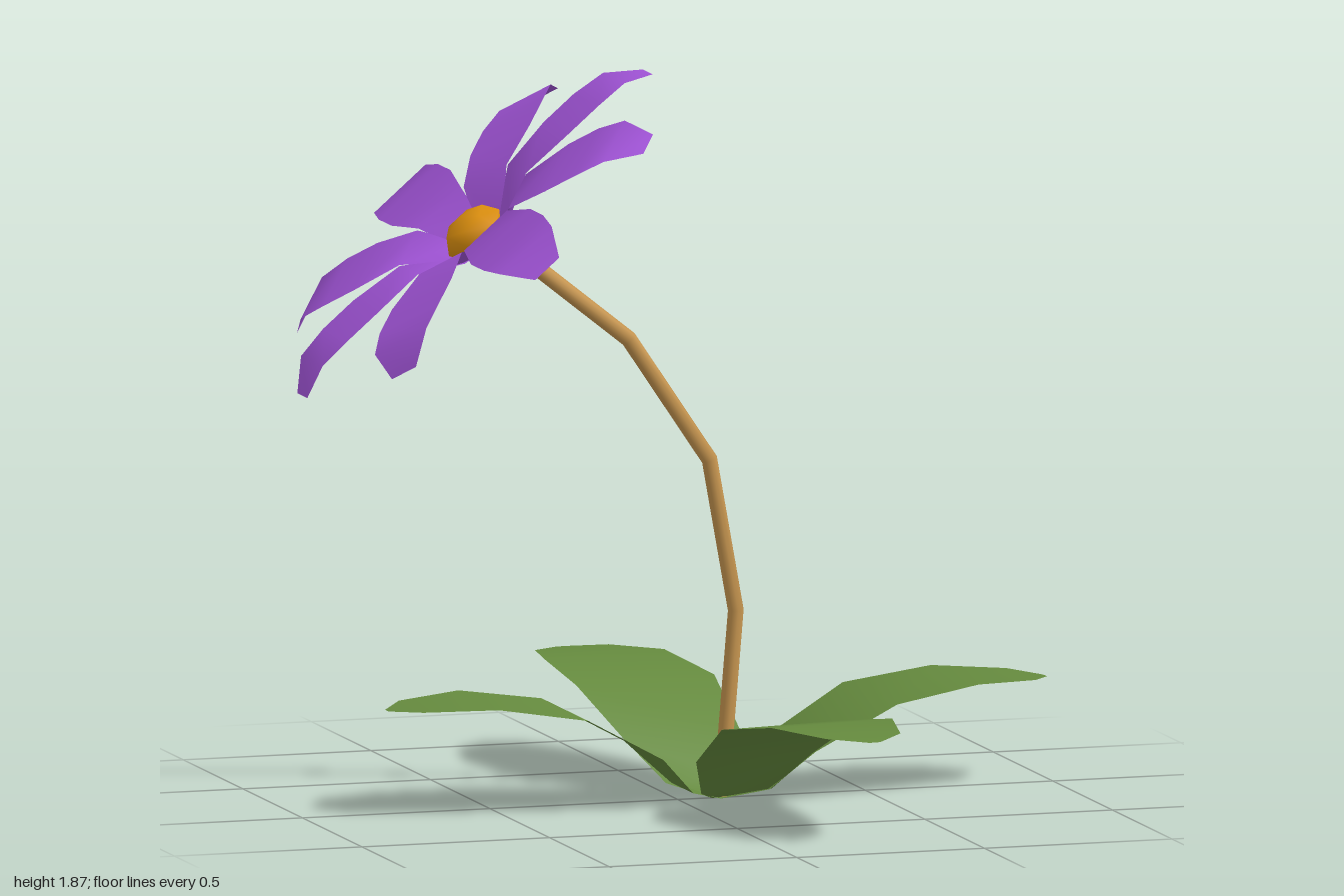
import * as THREE from 'three';
import { mergeVertices } from 'three/addons/utils/BufferGeometryUtils.js';

const petalMat = new THREE.MeshStandardMaterial({ color: 0xa355da, side: THREE.DoubleSide });
petalMat.name = 'purple petal';
const leafMat = new THREE.MeshStandardMaterial({ color: 0x658a3e, side: THREE.DoubleSide });
leafMat.name = 'green leaf';
const stemMat = new THREE.MeshStandardMaterial({ color: 0xc79650 });
stemMat.name = 'tan stem';
const centreMat = new THREE.MeshStandardMaterial({ color: 0xe0920f });
centreMat.name = 'orange centre';

// Joins rows of points (equal counts) into one smooth surface
function loft(rows) {
  const n = rows[0].length;
  const index = [];
  for (let i = 0; i < rows.length - 1; i++) {
    for (let j = 0; j < n - 1; j++) {
      const a = i * n + j, c = a + n;
      index.push(a, a + 1, c, a + 1, c + 1, c);
    }
  }
  const geo = new THREE.BufferGeometry();
  geo.setAttribute('position', new THREE.Float32BufferAttribute(rows.flat(2), 3));
  geo.setIndex(index);
  const merged = mergeVertices(geo);
  merged.computeVertexNormals();
  return merged;
}

// Blade along +x from [distance, height, half width] sections
const blade = (sections) =>
  loft(sections.map(([r, y, w]) => [[r, y, -w], [r, y, w]]));

// Round stalk through points of the xy plane, mitred at each bend
function stalk(points, radius, sides) {
  const pts = points.map(([x, y]) => new THREE.Vector2(x, y));
  const rings = pts.map((p, i) => {
    const before = pts[Math.max(i - 1, 0)], after = pts[Math.min(i + 1, pts.length - 1)];
    const t = after.clone().sub(before).normalize();
    return Array.from({ length: sides + 1 }, (_, j) => {
      const a = ((j % sides) / sides) * Math.PI * 2;
      const c = Math.cos(a) * radius;
      return [p.x + t.y * c, p.y - t.x * c, -Math.sin(a) * radius];
    });
  });
  return loft(rings);
}

function addMesh(parent, name, geo, mat) {
  const mesh = new THREE.Mesh(geo, mat);
  mesh.name = name;
  parent.add(mesh);
  return mesh;
}

export function createModel() {
  const plant = new THREE.Group();
  plant.name = 'flowerPlant';

  // Bent stem
  addMesh(plant, 'stem', stalk(
    [[0.115, 0.005], [0.155, 0.48], [0.085, 0.87], [-0.13, 1.19], [-0.5, 1.485]], 0.021, 8), stemMat);

  // Four arching leaves around the root
  const leaves = new THREE.Group();
  leaves.name = 'leaves';
  leaves.position.x = 0.11;
  plant.add(leaves);
  const leafGeo = blade([
    [-0.03, 0.01, 0.005], [0, 0, 0.02], [0.1, 0.03, 0.1], [0.2, 0.13, 0.165],
    [0.41, 0.245, 0.197], [0.64, 0.28, 0.172], [0.82, 0.272, 0.105], [0.885, 0.265, 0.015],
  ]);
  for (const deg of [3, 99.5, 180, 279]) {
    addMesh(leaves, 'leaf', leafGeo, leafMat).rotation.y = THREE.MathUtils.degToRad(deg);
  }

  // Tilted flower head: eight petals and a faceted-outline centre
  const flower = new THREE.Group();
  flower.name = 'flowerHead';
  flower.position.set(-0.54, 1.48, 0);
  flower.rotation.z = THREE.MathUtils.degToRad(40.6);
  plant.add(flower);
  const petalGeo = blade([
    [0.02, -0.04, 0.025], [0.076, -0.025, 0.045], [0.19, 0.05, 0.075],
    [0.335, 0.058, 0.104], [0.44, 0.058, 0.104], [0.53, 0.05, 0.09], [0.606, 0, 0.042],
  ]);
  for (let i = 0; i < 8; i++) {
    addMesh(flower, 'petal', petalGeo, petalMat).rotation.y = (i * Math.PI) / 4;
  }
  const centre = addMesh(flower, 'flowerCentre', new THREE.SphereGeometry(0.088, 6, 4), centreMat);
  centre.scale.y = 0.65;
  centre.position.y = 0.004;

  return plant;
}
